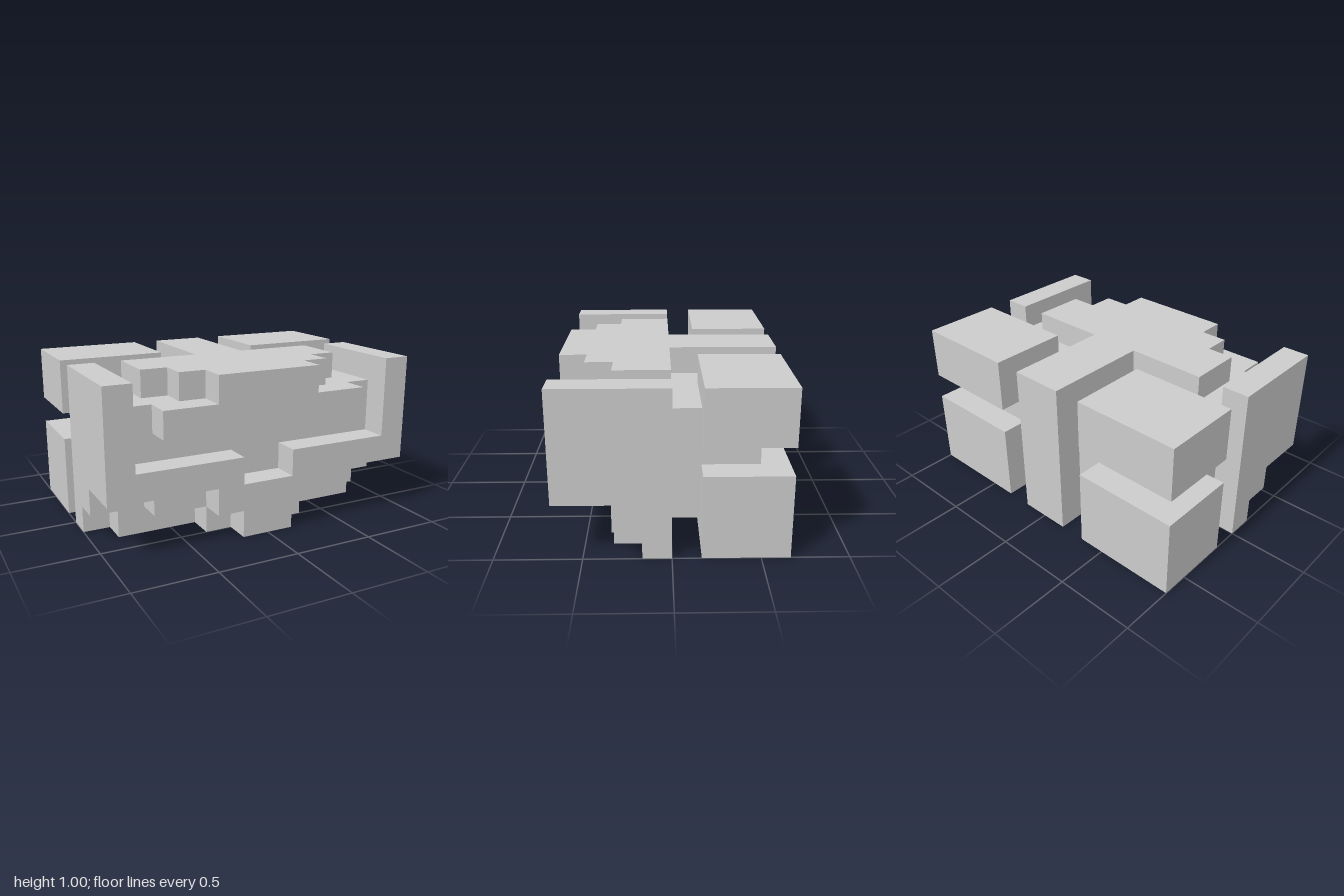
import * as THREE from 'three';

// One block of the model is a sixth of a unit
const U = 1 / 6;

export function createModel() {
  const model = new THREE.Group();
  const material = new THREE.MeshStandardMaterial({ color: 0xcccccc, flatShading: true });

  // Slab from z0 to z1: the +x half of its outline, bottom to top, is mirrored
  function slab(name, z0, z1, half) {
    const mirrored = half.map(([x, y]) => [-x, y]).reverse();
    const outline = [...half, ...mirrored].map(([x, y]) => new THREE.Vector2(x * U, y * U));
    const geometry = new THREE.ExtrudeGeometry(new THREE.Shape(outline), {
      depth: (z1 - z0) * U,
      bevelEnabled: false,
    });
    geometry.translate(0, 0, z0 * U);
    const mesh = new THREE.Mesh(geometry, material);
    mesh.name = name;
    model.add(mesh);
  }

  function block(name, [x0, x1], [y0, y1], [z0, z1]) {
    const geometry = new THREE.BoxGeometry((x1 - x0) * U, (y1 - y0) * U, (z1 - z0) * U);
    const mesh = new THREE.Mesh(geometry, material);
    mesh.position.set(x0 + x1, y0 + y1, z0 + z1).multiplyScalar(U / 2);
    mesh.name = name;
    model.add(mesh);
  }

  // Front body, stepping in underneath and on the raised top towards the front
  slab('bodyRear', 0, 1, [[1, 1], [1, 0], [6, 0], [6, 6], [5, 6], [5, 5], [4, 5], [4, 6]]);
  slab('bodyMiddle', 1, 2, [[5, 0], [5, 1], [6, 1], [6, 6], [5, 6], [5, 5], [4, 5], [4, 6]]);
  slab('bodyFront', 2, 3, [[2, 0], [2, 1], [4, 1], [4, 2], [6, 2], [6, 6], [5, 6], [5, 5], [3, 5], [3, 6]]);

  // Front rim with its upright sides and centre notch, and the lip above it
  slab('frontRim', 3, 4, [[1, 0], [1, 1], [2, 1], [2, 2], [6, 2], [6, 6], [5, 6], [5, 3], [1, 3], [1, 2]]);
  slab('frontLip', 3, 4, [[4, 4], [4, 5], [2, 5], [2, 6]]);

  // Core behind the body, with the ridge and the rear column
  slab('coreFront', -2, 0, [[5, 1], [5, 5], [1, 5], [1, 6]]);
  slab('coreRear', -3, -2, [[1, 0], [1, 1], [5, 1], [5, 5], [1, 5], [1, 6]]);
  slab('rearColumn', -4, -3, [[1, 0], [1, 6]]);

  // Rear corner blocks, a taller lower one and an upper one on each side
  for (const [side, x] of [['Left', [2, 6]], ['Right', [-6, -2]]]) {
    block('lowerBlock' + side, x, [0, 3], [-4, -1]);
    block('upperBlock' + side, x, [4, 6], [-4, -1]);
  }

  return model;
}
